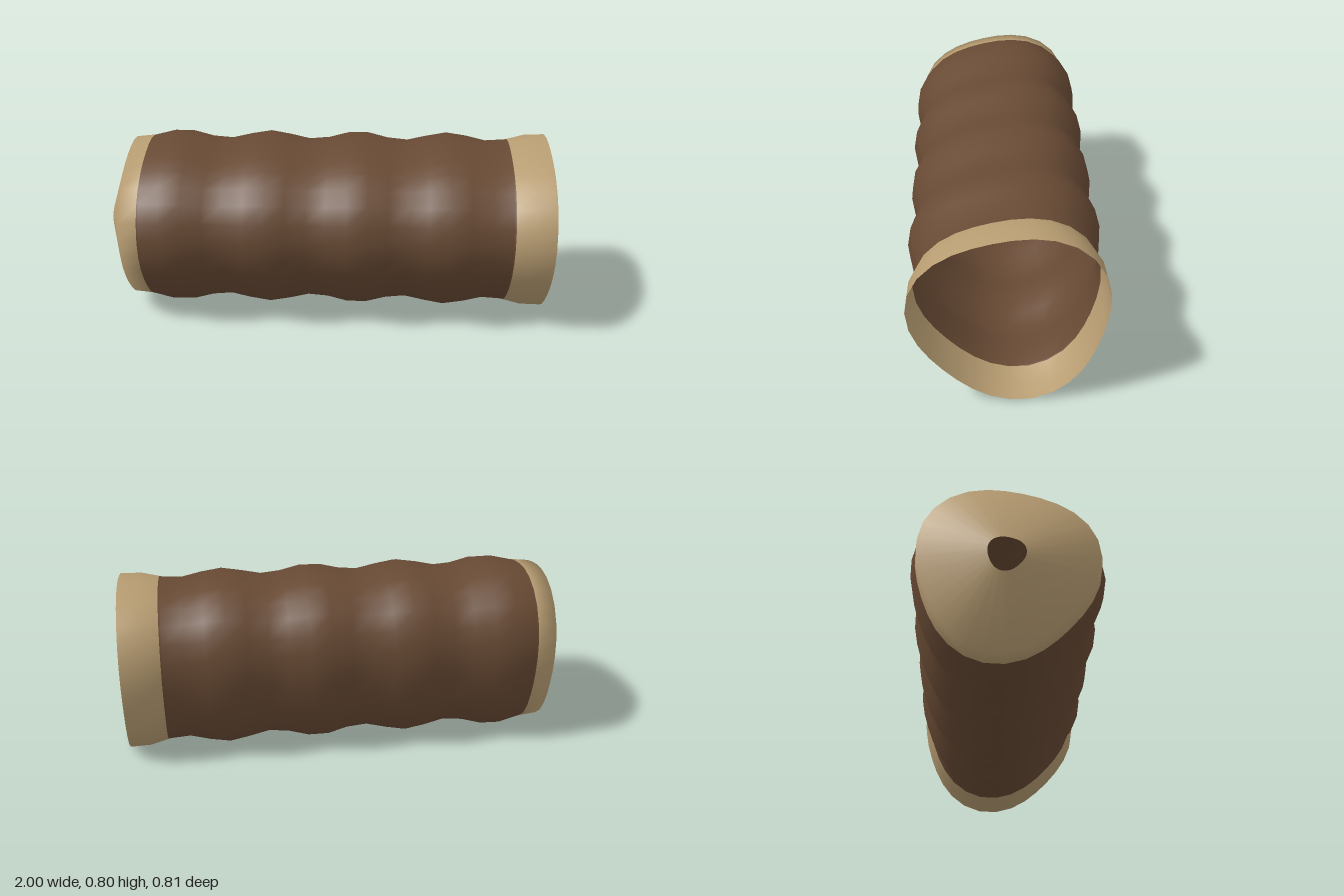
import * as THREE from 'three';

const SIDES = 30, STEPS = 22, EDGE = 0.827;
const CENTRE_Y = 0.419, CENTRE_Z = -0.017;

// Rounded three-lobed cross-section radius
const radiusAt = (a) => 0.4 * (1 + 0.065 * Math.cos(3 * (a - THREE.MathUtils.degToRad(17))));

// Gentle ripples along the length, closing to a small hole at the left end
const scaleAt = (i) => {
  const x = -1 + (2 * i) / STEPS;
  return i === 0 ? 0.19 : 0.955 + 0.045 * Math.cos((2 * Math.PI * (x - 0.55)) / 0.412);
};

// Rings along x, with extra rings where the colour changes
function makeRings() {
  const rings = [];
  for (let i = 0; i <= STEPS; i++) rings.push({ x: -1 + (2 * i) / STEPS, s: scaleAt(i) });
  for (const x of [-EDGE, EDGE]) {
    const f = ((x + 1) / 2) * STEPS, i = Math.floor(f);
    rings.push({ x, s: THREE.MathUtils.lerp(scaleAt(i), scaleAt(i + 1), f - i) });
  }
  return rings.sort((a, b) => a.x - b.x);
}

export function createModel() {
  const group = new THREE.Group();
  group.name = 'ripplyTube';
  const tan = new THREE.MeshStandardMaterial({ color: 0xb89d72, side: THREE.DoubleSide });
  tan.name = 'tan';
  const brown = new THREE.MeshStandardMaterial({ color: 0x684a34, side: THREE.DoubleSide });
  brown.name = 'brown';

  const rings = makeRings();
  const positions = [];
  for (const { x, s } of rings) {
    for (let j = 0; j < SIDES; j++) {
      const a = THREE.MathUtils.degToRad(6) + (j / SIDES) * Math.PI * 2;
      const r = radiusAt(a) * s;
      positions.push(x, CENTRE_Y + r * Math.sin(a), CENTRE_Z + r * Math.cos(a));
    }
  }

  // Faces sorted into the three bands
  const bands = { cappedEnd: [], body: [], openEnd: [] };
  for (let i = 0; i < rings.length - 1; i++) {
    const mid = (rings[i].x + rings[i + 1].x) / 2;
    const band = mid < -EDGE ? bands.cappedEnd : mid > EDGE ? bands.openEnd : bands.body;
    for (let j = 0; j < SIDES; j++) {
      const k = (j + 1) % SIDES;
      const a = i * SIDES + j, b = a + SIDES, d = i * SIDES + k, c = d + SIDES;
      band.push(a, b, c, a, c, d);
    }
  }

  // Normals are shared so the shading runs smoothly across the bands
  const whole = new THREE.BufferGeometry();
  whole.setAttribute('position', new THREE.Float32BufferAttribute(positions, 3));
  whole.setIndex(Object.values(bands).flat());
  whole.computeVertexNormals();

  for (const [name, index] of Object.entries(bands)) {
    const geometry = new THREE.BufferGeometry();
    geometry.setAttribute('position', whole.getAttribute('position'));
    geometry.setAttribute('normal', whole.getAttribute('normal'));
    geometry.setIndex(index);
    const mesh = new THREE.Mesh(geometry, name === 'body' ? brown : tan);
    mesh.name = name;
    group.add(mesh);
  }
  return group;
}
